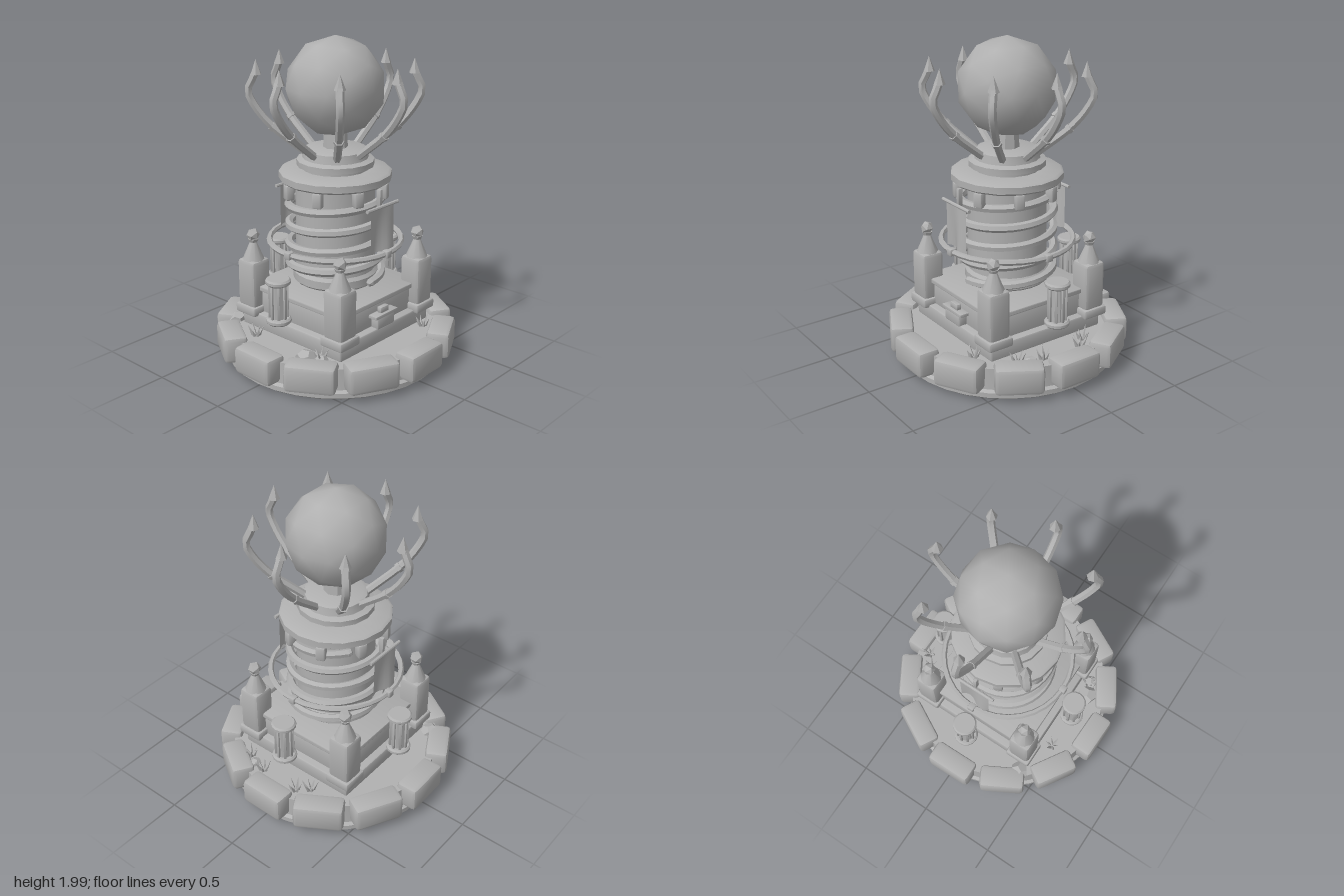
import * as THREE from 'three';
import { toCreasedNormals } from 'three/addons/utils/BufferGeometryUtils.js';
import { RoundedBoxGeometry } from 'three/addons/geometries/RoundedBoxGeometry.js';

export function createModel() {
  const model = new THREE.Group();
  const stone = new THREE.MeshStandardMaterial({ color: 0xb0b0b0 });
  stone.name = 'grey stone';
  const cloth = stone.clone();
  cloth.name = 'grey cloth';
  cloth.side = THREE.DoubleSide;

  const V = (x, y, z = 0) => new THREE.Vector3(x, y, z);
  function add(parent, name, geometry, x = 0, y = 0, z = 0, crease = 0.6) {
    const mesh = new THREE.Mesh(crease ? toCreasedNormals(geometry, crease) : geometry, stone);
    mesh.name = name;
    mesh.position.set(x, y, z);
    parent.add(mesh);
    return mesh;
  }
  function group(name, x = 0, y = 0, z = 0, turn = 0) {
    const g = new THREE.Group();
    g.name = name;
    g.position.set(x, y, z);
    g.rotation.y = turn;
    model.add(g);
    return g;
  }
  const box = (w, h, d, r = 0.012) => new RoundedBoxGeometry(w, h, d, 1, r);
  const lathe = (points, sides) =>
    new THREE.LatheGeometry(points.map(([r, y]) => new THREE.Vector2(r, y)), sides);

  // round foundation
  add(model, 'foundation', lathe([[0, 0.01], [0.665, 0.01], [0.685, 0.025], [0.685, 0.055],
    [0.665, 0.068], [0.66, 0.2], [0, 0.2]], 32));

  // ring of kerb stones
  for (let i = 0; i < 12; i++) {
    const a = i * Math.PI / 6;
    const wobble = 0.012 * Math.sin(i * 5.3);
    const s = add(model, 'kerbStone', box(0.3 + wobble, 0.168, 0.145, 0.026),
      0.667 * Math.sin(a), 0.152, 0.667 * Math.cos(a));
    s.rotation.y = a + wobble * 3;
  }

  // square stepped plinth
  add(model, 'plinthStep', box(0.82, 0.1, 0.82), 0, 0.245);
  add(model, 'plinthBlock', box(0.72, 0.16, 0.72), 0, 0.36);
  add(model, 'plinthCap', box(0.76, 0.032, 0.76, 0.008), 0, 0.45);

  // small coffer on the front step
  const coffer = group('coffer', 0, 0, 0.385);
  add(coffer, 'cofferBody', box(0.16, 0.08, 0.06), 0, 0.325);
  add(coffer, 'cofferLid', box(0.205, 0.022, 0.07, 0.006), 0, 0.368);
  add(coffer, 'cofferHandle', box(0.075, 0.04, 0.035, 0.008), 0, 0.395);

  // four corner pillars
  for (const x of [-0.357, 0.357]) for (const z of [-0.357, 0.357]) {
    const p = group('cornerPillar', x, 0, z);
    add(p, 'pillarBase', box(0.17, 0.06, 0.17, 0.014), 0, 0.305);
    add(p, 'pillarShaft', box(0.146, 0.31, 0.146, 0.024), 0, 0.475);
    add(p, 'pillarRoof', new THREE.CylinderGeometry(0.02, 0.068, 0.115, 10), 0, 0.682);
    add(p, 'pillarNeck', new THREE.CylinderGeometry(0.034, 0.026, 0.02, 8), 0, 0.747);
    add(p, 'pillarFinial', new THREE.IcosahedronGeometry(0.042, 0), 0, 0.782, 0, 0.1);
  }

  // three small fluted columns
  for (const [x, z] of [[0.5, 0], [-0.5, 0], [0, -0.495]]) {
    const c = group('smallColumn', x, 0, z);
    for (const y of [0.375, 0.622]) add(c, 'columnCap', lathe([[0, -0.018], [0.066, -0.018],
      [0.076, -0.008], [0.076, 0.008], [0.066, 0.018], [0, 0.018]], 16), 0, y);
    add(c, 'columnShaft', new THREE.CylinderGeometry(0.05, 0.05, 0.24, 10), 0, 0.5);
    for (let i = 0; i < 8; i++) {
      const a = i * Math.PI / 4;
      add(c, 'columnRib', box(0.016, 0.23, 0.016, 0.003), 0.052 * Math.cos(a), 0.5, 0.052 * Math.sin(a))
        .rotation.y = -a;
    }
  }

  // tower drum on a slim neck
  add(model, 'towerNeck', new THREE.CylinderGeometry(0.08, 0.08, 0.07, 10), 0, 0.485);
  add(model, 'towerDrum', lathe([[0, 0.5], [0.25, 0.5], [0.262, 0.512], [0.262, 0.56],
    [0.245, 0.58], [0.24, 1.13], [0, 1.13]], 24));

  // coil climbing round the drum
  const coil = [];
  const turns = 4.4;
  for (let i = 0; i <= 100; i++) {
    const t = i / 100, a = t * turns * 2 * Math.PI;
    coil.push(V(0.285 * Math.sin(a), 0.535 + 0.54 * t, 0.285 * Math.cos(a)));
  }
  add(model, 'coil', new THREE.TubeGeometry(new THREE.CatmullRomCurve3(coil), 150, 0.026, 6));
  for (const end of [coil[0], coil[100]])
    add(model, 'coilEnd', new THREE.IcosahedronGeometry(0.027, 0), end.x, end.y, end.z, 0.1);

  // hoop around the tower
  add(model, 'hoop', new THREE.TorusGeometry(0.405, 0.018, 6, 32).rotateX(Math.PI / 2), 0, 0.755);
  for (let i = 0; i < 4; i++) {
    const a = i * Math.PI / 2;
    add(model, 'hoopClasp', box(0.045, 0.045, 0.045, 0.008),
      0.408 * Math.sin(a), 0.755, 0.408 * Math.cos(a)).rotation.y = a;
  }

  // collar with hanging brackets
  add(model, 'collar', lathe([[0, 1.135], [0.325, 1.135], [0.342, 1.148], [0.342, 1.188],
    [0.325, 1.2], [0.2, 1.205], [0.2, 1.22], [0.235, 1.228], [0.235, 1.262], [0.2, 1.275],
    [0.19, 1.325], [0.165, 1.335], [0, 1.335]], 16));
  for (let i = 0; i < 8; i++) {
    const a = (i + 0.5) * Math.PI / 4;
    add(model, 'collarBracket', box(0.06, 0.095, 0.055, 0.012),
      0.305 * Math.sin(a), 1.09, 0.305 * Math.cos(a)).rotation.y = a;
  }

  // orb on its post
  add(model, 'orbPost', new THREE.CylinderGeometry(0.068, 0.075, 0.13, 8), 0, 1.385);
  add(model, 'orb', new THREE.IcosahedronGeometry(0.3, 1), 0, 1.7, 0, 0);

  // eight curved claws round the orb
  const path = new THREE.CatmullRomCurve3([V(0.13, 1.265), V(0.25, 1.36), V(0.37, 1.46),
    V(0.465, 1.575), V(0.512, 1.68), V(0.485, 1.745), V(0.465, 1.79)]);
  for (let i = 0; i < 8; i++) {
    const claw = group('claw', 0, 0, 0, i * Math.PI / 4);
    add(claw, 'clawArm', new THREE.TubeGeometry(path, 14, 0.024, 6));
    add(claw, 'clawJoint', new THREE.CylinderGeometry(0.03, 0.03, 0.025, 6), 0.37, 1.46)
      .rotation.z = -0.85;
    add(claw, 'clawTip', new THREE.ConeGeometry(0.034, 0.09, 6), 0.463, 1.82);
  }

  // banners on the front and back
  for (const turn of [0, Math.PI]) {
    const b = group('banner', 0, 0, 0, turn);
    const rod = new THREE.CylinderGeometry(0.011, 0.011, 0.28, 8).rotateZ(Math.PI / 2);
    add(b, 'bannerRod', rod, 0, 1.04, 0.37);
    add(b, 'bannerBracket', box(0.022, 0.11, 0.03, 0.005), 0, 1.085, 0.345);
    const sheet = new THREE.PlaneGeometry(0.205, 0.28, 8, 6);
    const p = sheet.attributes.position;
    for (let i = 0; i < p.count; i++) {
      const drop = 0.5 - p.getY(i) / 0.28;
      p.setZ(i, 0.022 * drop * Math.sin(p.getX(i) * 30));
    }
    sheet.computeVertexNormals();
    add(b, 'bannerCloth', sheet, 0, 0.9, 0.37, 0).material = cloth;
  }

  // tufts of spiky grass
  const tufts = [[0.5, -0.2], [0.56, -0.13], [0.55, 0.14], [0.5, 0.29], [0.3, 0.46],
    [-0.49, -0.21], [-0.46, 0.3]];
  tufts.forEach(([x, z], k) => {
    const t = group('grassTuft', x, 0.19, z, k * 1.3);
    for (let i = 0; i < 6; i++) {
      const a = i * Math.PI / 3, h = 0.08 + 0.015 * Math.sin(i * 4 + k);
      const blade = new THREE.ConeGeometry(0.014, h, 4).translate(0, h / 2, 0).rotateZ(-0.45);
      add(t, 'grassBlade', blade, 0.012 * Math.cos(a), 0, -0.012 * Math.sin(a)).rotation.y = a;
    }
  });

  // loose rocks
  for (const [x, z, r] of [[-0.4, -0.47, 0.06], [-0.5, 0.22, 0.065], [0.54, 0.22, 0.04], [-0.47, 0.31, 0.045]]) {
    const rock = add(model, 'looseRock', new THREE.DodecahedronGeometry(r, 0), x, 0.205, z, 0.1);
    rock.scale.y = 0.7;
    rock.rotation.y = x * 9;
  }
  return model;
}
